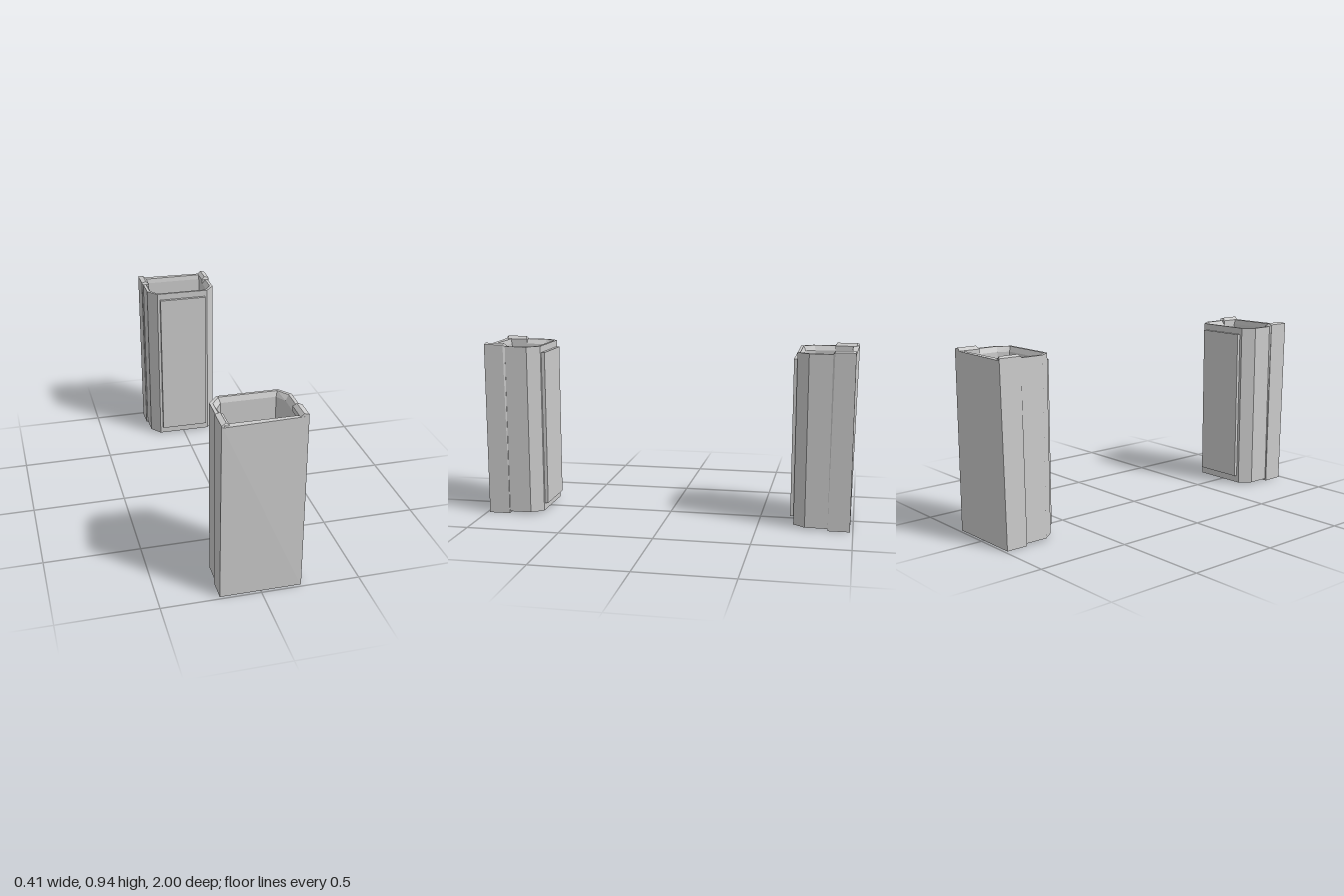
import * as THREE from 'three';

const BACK = 0.985, STEP = 0.87;
const material = () => new THREE.MeshStandardMaterial({ color: 0xcccccc, flatShading: true });

// Six-sided plan: square at the outer wall, chamfered at the inner one
const plan = (y, w, back, side, nw, front) => [
  [w, y, back], [w, y, side], [nw, y, front],
  [-nw, y, front], [-w, y, side], [-w, y, back],
];

// Skin successive rings, closing the first and last; s = -1 mirrors in z
function loft(rings, s) {
  const pos = rings.flat().flatMap(([x, y, z]) => [x, y, z * s]);
  const n = rings[0].length, index = [];
  const tri = (a, b, c) => (s > 0 ? index.push(a, c, b) : index.push(a, b, c));
  for (let r = 0; r < rings.length - 1; r++) {
    for (let i = 0; i < n; i++) {
      const a = r * n + i, b = r * n + (i + 1) % n;
      tri(a, a + n, b);
      tri(b, a + n, b + n);
    }
  }
  const last = (rings.length - 1) * n;
  for (let i = 1; i < n - 1; i++) {
    tri(0, i, i + 1);
    tri(last, last + i + 1, last + i);
  }
  const g = new THREE.BufferGeometry();
  g.setAttribute('position', new THREE.Float32BufferAttribute(pos, 3));
  g.setIndex(index);
  return g;
}

// Lean the outer wall out at its -x corner and slope the inner ends of the ears
function adjust(g, s) {
  const p = g.attributes.position;
  for (let i = 0; i < p.count; i++) {
    const x = p.getX(i), y = p.getY(i), z = Math.abs(p.getZ(i));
    if (x < -0.19 && z > 0.98) p.setZ(i, s * (BACK + 0.015 * Math.min(1, y / 0.93)));
    if (y > 0.93 && z < STEP + 0.001) p.setZ(i, s * (STEP + 0.01));
  }
  const flat = g.index ? g.toNonIndexed() : g;
  flat.computeVertexNormals();
  return flat;
}

function makeBin(s) {
  const bin = new THREE.Group();
  const add = (name, g) => {
    const mesh = new THREE.Mesh(g, material());
    mesh.name = name;
    bin.add(mesh);
    return mesh;
  };

  // Hollow shell: outer wall, flat rim, bevel, inner wall and floor
  add('shell', adjust(loft([
    plan(0.01, 0.198, BACK, 0.75, 0.15, 0.688),
    plan(0.926, 0.198, BACK, 0.75, 0.15, 0.688),
    plan(0.926, 0.182, 0.965, 0.757, 0.143, 0.702),
    plan(0.9, 0.165, 0.96, 0.765, 0.135, 0.713),
    plan(0.02, 0.165, 0.96, 0.765, 0.135, 0.713),
  ], s), s));

  // U-shaped band wrapping sides and bottom, with raised ears lapping over the rim
  const half = [
    [0.205, 0], [0.205, 0.935], [0.18, 0.942], [0.163, 0.926],
    [0.163, 0.9], [0.182, 0.926], [0.198, 0.926], [0.198, 0.01],
  ];
  const outline = [...half, ...half.map(([x, y]) => [-x, y]).reverse()];
  const shape = new THREE.Shape(outline.map(([x, y]) => new THREE.Vector2(x, y)));
  const band = new THREE.ExtrudeGeometry(shape, { depth: BACK - STEP, bevelEnabled: false });
  band.translate(0, 0, s > 0 ? STEP : -BACK);
  add('band', adjust(band, s));

  // Raised panel on the wall facing the other bin
  const panel = add('panel', new THREE.BoxGeometry(0.27, 0.84, 0.02));
  panel.position.set(0, 0.47, s * 0.68);
  return bin;
}

export function createModel() {
  const model = new THREE.Group();
  model.name = 'pairOfBins';
  for (const s of [1, -1]) {
    const bin = makeBin(s);
    bin.name = s > 0 ? 'frontBin' : 'rearBin';
    model.add(bin);
  }
  return model;
}
